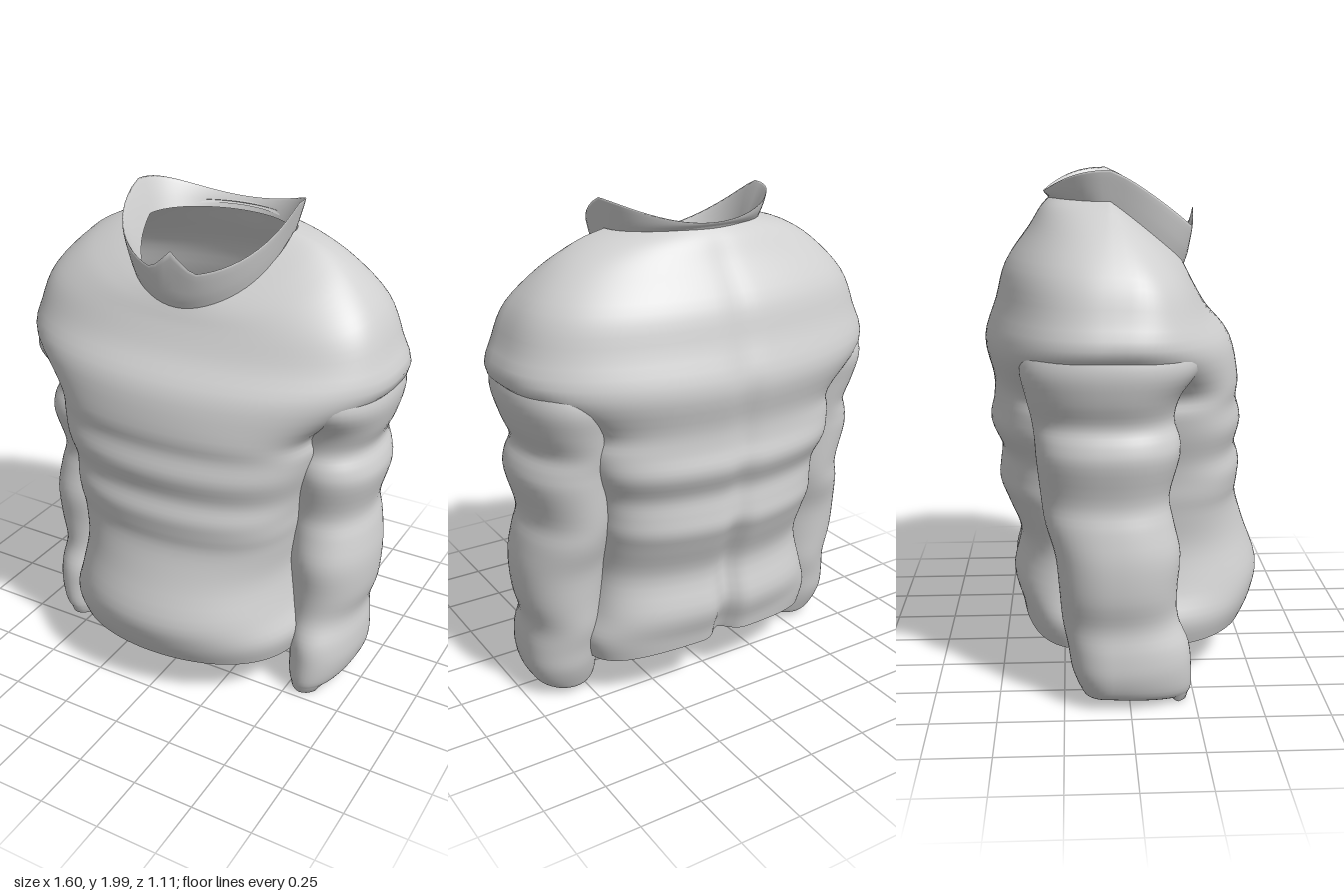
import * as THREE from 'three';

const fabric = new THREE.MeshStandardMaterial({ color: 0xd0d0d0, side: THREE.DoubleSide });
fabric.name = 'grey fabric';

// Smooth loft through rings, listed from bottom to top:
// [centreX, halfWidth, zFront, zBack, yFront, ySide, yBack, frontPower, backPower]
function loft(name, rings, { steps = 4, sides = 64, zMid = -0.06, adjust } = {}) {
  const columns = rings[0].map((_, c) =>
    new THREE.SplineCurve(rings.map((r) => new THREE.Vector2(r[c], 0))));
  const rows = (rings.length - 1) * steps;
  const positions = [], index = [];
  const p = new THREE.Vector3();
  for (let i = 0; i <= rows; i++) {
    const t = i / rows;
    const [cx, w, zf, zb, yf, ym, yb, pf, pb] = columns.map((c) => c.getPoint(t).x);
    for (let j = 0; j < sides; j++) {
      const a = (j / sides) * Math.PI * 2;
      const s = Math.sin(a), k = Math.abs(s);
      const front = s >= 0;
      p.set(
        cx + w * Math.cos(a),
        ym + (front ? (yf - ym) * k : (yb - ym) * k * k),
        zMid + ((front ? zf : zb) - zMid) * Math.pow(k, front ? pf : pb)
      );
      if (adjust) adjust(p, t, s);
      positions.push(p.x, p.y, p.z);
      if (i < rows) {
        const a0 = i * sides + j, b0 = i * sides + (j + 1) % sides;
        index.push(a0, a0 + sides, b0, b0, a0 + sides, b0 + sides);
      }
    }
  }
  const geometry = new THREE.BufferGeometry();
  geometry.setAttribute('position', new THREE.Float32BufferAttribute(positions, 3));
  geometry.setIndex(index);
  geometry.computeVertexNormals();
  const mesh = new THREE.Mesh(geometry, fabric);
  mesh.name = name;
  return mesh;
}

// Padded torso, widening into the shoulders and closing to a tilted neckline
function makeTorso() {
  const level = ([y, w, zf, zb, pf, pb]) => [0, w, zf, zb, y, y, y, pf, pb];
  const rings = [
    [0, 0.515, 0.50, -0.42, 0.195, 0.18, 0.23, 0.6, 0.5],
    ...[
      [0.28, 0.54, 0.54, -0.43, 0.65, 0.5],
      [0.39, 0.50, 0.56, -0.46, 0.65, 0.5],
      [0.55, 0.47, 0.505, -0.43, 0.6, 0.5],
      [0.69, 0.48, 0.465, -0.48, 0.5, 0.48],
      [0.77, 0.49, 0.47, -0.51, 0.46, 0.46],
      [0.84, 0.495, 0.475, -0.505, 0.45, 0.45],
      [0.92, 0.51, 0.455, -0.50, 0.45, 0.45],
      [1.02, 0.54, 0.475, -0.54, 0.45, 0.42],
      [1.11, 0.56, 0.455, -0.525, 0.43, 0.42],
      [1.20, 0.57, 0.46, -0.525, 0.43, 0.45],
    ].map(level),
    [0, 0.787, 0.425, -0.555, 1.35, 1.36, 1.35, 0.8, 0.75],
    [0, 0.76, 0.335, -0.51, 1.46, 1.50, 1.50, 0.65, 0.75],
    [0, 0.70, 0.28, -0.47, 1.55, 1.64, 1.64, 0.6, 0.75],
    [0, 0.575, 0.255, -0.38, 1.60, 1.77, 1.77, 0.7, 0.8],
    [0, 0.45, 0.24, -0.33, 1.63, 1.845, 1.85, 0.85, 0.9],
    [0, 0.33, 0.23, -0.29, 1.65, 1.88, 1.89, 0.95, 0.95],
  ];
  return loft('torso', rings, {
    sides: 128,
    // Groove down the spine, deepest at the hem
    adjust: (p, t, s) => {
      if (s < 0) {
        const depth = 0.02 + 0.045 * Math.max(0, 1 - t / 0.35);
        p.z += depth * (1 - t * t * t) * Math.exp(-((p.x / 0.05) ** 2));
      }
    },
  });
}

// Puffed sleeve opening into the shoulder, with a turned-in cuff
function makeSleeve(name, side) {
  // [y, innerX, outerX, zFront, zBack]
  const levels = [
    [0.15, 0.44, 0.73, 0.235, -0.22],
    [0.24, 0.43, 0.73, 0.225, -0.235],
    [0.34, 0.42, 0.72, 0.185, -0.255],
    [0.46, 0.41, 0.75, 0.18, -0.265],
    [0.60, 0.40, 0.757, 0.19, -0.28],
    [0.72, 0.39, 0.74, 0.165, -0.315],
    [0.82, 0.38, 0.72, 0.15, -0.33],
    [0.97, 0.38, 0.757, 0.185, -0.345],
    [1.04, 0.38, 0.75, 0.185, -0.35],
    [1.11, 0.38, 0.727, 0.165, -0.36],
    [1.20, 0.38, 0.76, 0.185, -0.38],
    [1.30, 0.38, 0.782, 0.25, -0.40],
    [1.38, 0.38, 0.765, 0.24, -0.38],
    [1.44, 0.40, 0.71, 0.17, -0.32],
  ].map(([y, x0, x1, zf, zb]) =>
    [side * (x0 + x1) / 2, (x1 - x0) / 2, zf, zb, y, y, y, 0.9, 0.9]);
  const cuff = [
    [side * 0.57, 0.07, 0.15, -0.12, 0.09, 0.10, 0.09, 0.9, 0.9],
    [side * 0.565, 0.10, 0.21, -0.165, 0.025, 0.045, 0.035, 0.9, 0.9],
    [side * 0.575, 0.13, 0.235, -0.19, 0.055, 0.075, 0.07, 0.9, 0.9],
  ];
  return loft(name, [...cuff, ...levels], {
    sides: 48,
    zMid: -0.07,
    // Ragged front tip on the cuff
    adjust: (p, t, s) => {
      if (t > 0.03 && t < 0.09 && s > 0.8) p.y -= 0.02;
    },
  });
}

// Loose standing collar, high at the sides, with a small peak in front
function makeCollar() {
  const rings = [
    [0, 0.32, 0.245, -0.285, 1.62, 1.86, 1.88, 0.85, 0.95],
    [0, 0.335, 0.265, -0.31, 1.68, 1.92, 1.90, 0.82, 0.9],
    [0, 0.352, 0.28, -0.315, 1.765, 1.995, 1.91, 0.82, 0.85],
    [0, 0.325, 0.25, -0.30, 1.71, 1.93, 1.89, 0.9, 0.9],
    [0, 0.30, 0.21, -0.285, 1.64, 1.86, 1.86, 1, 0.95],
  ];
  return loft('collar', rings, {
    adjust: (p, t, s) => {
      const rim = Math.max(0, 1 - Math.abs(t - 0.5) / 0.3);
      if (s > 0) p.y += 0.085 * rim * Math.max(0, 1 - Math.abs(p.x) / 0.09);
    },
  });
}

export function createModel() {
  const model = new THREE.Group();
  model.name = 'padded sweater';
  model.add(
    makeTorso(),
    makeSleeve('leftSleeve', 1),
    makeSleeve('rightSleeve', -1),
    makeCollar()
  );
  return model;
}
